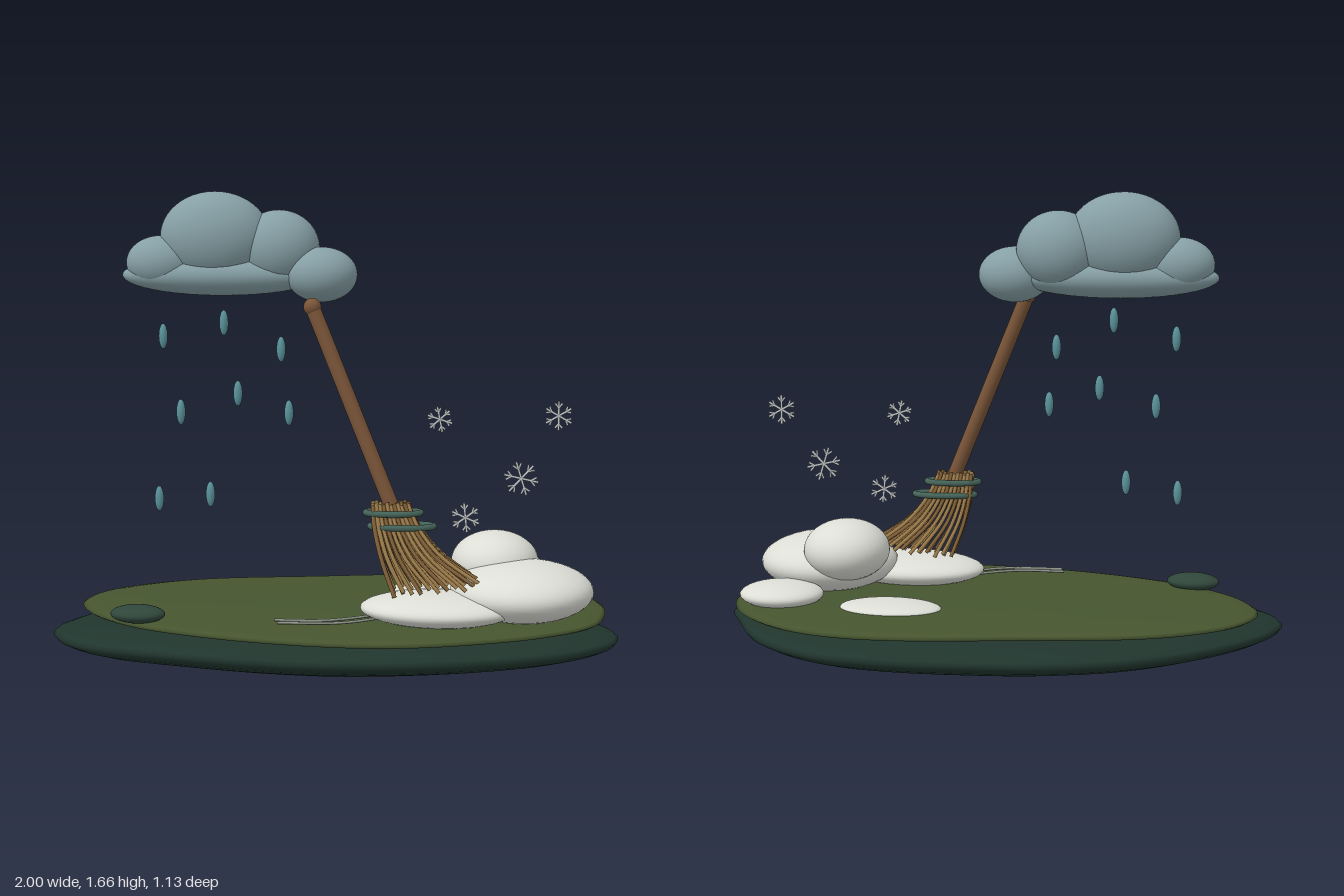
import * as THREE from 'three';

const V = (x, y, z) => new THREE.Vector3(x, y, z);
const paint = (color) => new THREE.MeshStandardMaterial({ color });
const MAT = {
  earth: paint(0x20352d), grass: paint(0x46552f), rock: paint(0x30463b), snow: paint(0xdcded6),
  cloud: paint(0x86a0a6), rain: paint(0x5a939b), wood: paint(0x7a5538), straw: paint(0xa88550),
  darkStraw: paint(0x8a673c), cord: paint(0x45645a), flake: paint(0xc4c8ca), track: paint(0x8d9488),
};

function add(parent, name, geometry, material) {
  const mesh = new THREE.Mesh(geometry, material);
  mesh.name = name;
  parent.add(mesh);
  return mesh;
}

function group(parent, name) {
  const g = new THREE.Group();
  g.name = name;
  parent.add(g);
  return g;
}

function blob(parent, name, material, [x, y, z], [rx, ry, rz], turn = 0) {
  const mesh = add(parent, name, new THREE.SphereGeometry(1, 36, 24), material);
  mesh.position.set(x, y, z);
  mesh.scale.set(rx, ry, rz);
  mesh.rotation.y = turn;
  return mesh;
}

function rod(parent, name, material, a, b, rTop, rBottom, sides = 16) {
  const dir = b.clone().sub(a);
  const mesh = add(parent, name, new THREE.CylinderGeometry(rTop, rBottom, dir.length(), sides), material);
  mesh.position.copy(a).add(b).multiplyScalar(0.5);
  mesh.quaternion.setFromUnitVectors(V(0, 1, 0), dir.normalize());
  return mesh;
}

function tube(parent, name, material, points, radius, segments = 10, sides = 6) {
  return add(parent, name,
    new THREE.TubeGeometry(new THREE.CatmullRomCurve3(points), segments, radius, sides), material);
}

// Slab from an [x, z] outline, swept through [scale, y] profile steps from bottom to top
function slab(outline, profile) {
  const n = 96;
  const curve = new THREE.CatmullRomCurve3(outline.map(([x, z]) => V(x, 0, z)), true);
  const rim = curve.getPoints(n);
  const pos = [], index = [];
  for (const [s, y] of profile) for (const p of rim) pos.push(p.x * s, y, p.z * s);
  const w = n + 1;
  for (let i = 0; i < profile.length - 1; i++) {
    for (let j = 0; j < n; j++) {
      const a = i * w + j, b = a + w;
      index.push(a, b, a + 1, b, b + 1, a + 1);
    }
  }
  const geometry = new THREE.BufferGeometry();
  geometry.setAttribute('position', new THREE.Float32BufferAttribute(pos, 3));
  geometry.setIndex(index);
  geometry.computeVertexNormals();
  return geometry;
}

function buildGround(root) {
  const ground = group(root, 'ground');
  const earthRim = [[-1, 0.06], [-0.94, -0.1], [-0.76, -0.3], [-0.5, -0.47], [-0.2, -0.555], [0.05, -0.57],
    [0.4, -0.55], [0.65, -0.47], [0.85, -0.28], [0.95, -0.05], [1, 0.1], [0.97, 0.23], [0.85, 0.35],
    [0.6, 0.46], [0.3, 0.52], [0, 0.535], [-0.3, 0.49], [-0.6, 0.4], [-0.85, 0.3], [-0.96, 0.19]];
  const earthProfile = [];
  for (let i = 0; i <= 20; i++) {
    const a = -Math.PI / 2 + (Math.PI * i) / 20;
    earthProfile.push([Math.max(Math.cos(a), 1e-4), 0.105 + Math.sin(a) * (a < 0 ? 0.105 : 0.075)]);
  }
  add(ground, 'earthMound', slab(earthRim, earthProfile), MAT.earth);

  const grassRim = [[-0.91, -0.08], [-0.85, -0.23], [-0.7, -0.35], [-0.5, -0.43], [-0.1, -0.48], [0.3, -0.52],
    [0.55, -0.495], [0.75, -0.4], [0.9, -0.23], [0.96, -0.05], [0.95, 0.12], [0.89, 0.28], [0.7, 0.42],
    [0.5, 0.5], [0.3, 0.55], [0.1, 0.56], [-0.15, 0.52], [-0.45, 0.42], [-0.7, 0.28], [-0.86, 0.1]];
  add(ground, 'grassTop', slab(grassRim, [[1e-4, 0.165], [0.94, 0.166], [0.985, 0.172], [1, 0.18],
    [0.985, 0.188], [0.93, 0.195], [0.7, 0.202], [1e-4, 0.207]]), MAT.grass);

  blob(ground, 'rock', MAT.rock, [-0.68, 0.215, 0.25], [0.096, 0.031, 0.067], -0.15);

  // Faint marks left by sweeping
  [[[-0.2, 0.345], [-0.05, 0.352], [0.03, 0.33], [0.14, 0.27]],
    [[-0.19, 0.385], [-0.02, 0.39], [0.06, 0.37], [0.16, 0.31]]].forEach((pts) =>
    tube(ground, 'sweepMark', MAT.track, pts.map(([x, z]) => V(x, 0.218, z)), 0.005, 20));
}

function buildSnow(root) {
  const snow = group(root, 'snowPile');
  blob(snow, 'frontDrift', MAT.snow, [0.36, 0.243, 0.27], [0.27, 0.058, 0.175], -0.12);
  blob(snow, 'largeHeap', MAT.snow, [0.655, 0.287, 0.18], [0.25, 0.105, 0.245]);
  blob(snow, 'topHeap', MAT.snow, [0.568, 0.36, 0.035], [0.155, 0.11, 0.163]);
  blob(snow, 'rearDrift', MAT.snow, [0.785, 0.222, -0.09], [0.15, 0.046, 0.135]);
  blob(snow, 'flatPatch', MAT.snow, [0.38, 0.203, -0.185], [0.182, 0.027, 0.115], -0.1);
}

function buildCloud(root) {
  const cloud = group(root, 'cloud');
  blob(cloud, 'cloudBase', MAT.cloud, [-0.4, 1.365, -0.08], [0.355, 0.072, 0.1]);
  blob(cloud, 'leftPuff', MAT.cloud, [-0.615, 1.41, -0.08], [0.125, 0.095, 0.09]);
  blob(cloud, 'mainPuff', MAT.cloud, [-0.425, 1.5, -0.085], [0.195, 0.16, 0.12]);
  blob(cloud, 'middlePuff', MAT.cloud, [-0.2, 1.46, -0.09], [0.145, 0.135, 0.115]);
  blob(cloud, 'rightPuff', MAT.cloud, [-0.048, 1.37, -0.05], [0.127, 0.097, 0.102]);

  const rain = group(root, 'rain');
  [[-0.61, 1.15, -0.055], [-0.39, 1.205, 0.01], [-0.19, 1.11, -0.005], [-0.34, 0.96, 0.045],
    [-0.54, 0.895, 0.055], [-0.16, 0.895, 0.07], [-0.62, 0.585, 0.05], [-0.435, 0.61, 0.1]].forEach((p) => {
    const drop = add(rain, 'raindrop', new THREE.SphereGeometry(1, 16, 12), MAT.rain);
    drop.position.set(...p);
    drop.scale.set(0.016, 0.045, 0.016);
  });
}

function buildBroom(root) {
  const broom = group(root, 'broom');
  const top = V(-0.075, 1.275, 0.155), foot = V(0.21, 0.57, 0.244);
  rod(broom, 'handle', MAT.wood, foot, top, 0.026, 0.026, 20);
  blob(broom, 'handleTip', MAT.wood, top.toArray(), [0.031, 0.031, 0.031]);

  // Bristles in four rows, fanning out and bending to one side
  const columns = 11;
  for (let row = 0; row < 4; row++) {
    const r = row / 3 - 0.5;
    for (let i = 0; i < columns; i++) {
      const t = i / (columns - 1);
      const wave = 0.008 * Math.sin(i * 2.3 + row * 1.7);
      tube(broom, 'bristle', (i + row) % 3 ? MAT.straw : MAT.darkStraw, [
        V(0.135 + 0.12 * t, 0.61 + wave * 0.6, 0.244 + r * 0.055),
        V(0.14 + 0.15 * t, 0.53, 0.247 + r * 0.065),
        V(0.165 + 0.2 * t, 0.42 + 0.015 * t, 0.257 + r * 0.08),
        V(0.21 + 0.305 * t, 0.298 + 0.03 * t + wave, 0.262 + r * 0.1),
      ], 0.0075);
    }
  }

  // Cord bindings
  [[0.205, 0.575, 0.095], [0.235, 0.527, 0.11]].forEach(([x, y, rx]) => {
    const loop = [];
    for (let i = 0; i < 16; i++) {
      const a = (i / 16) * Math.PI * 2;
      loop.push(V(x + rx * Math.cos(a), y, 0.244 + 0.042 * Math.sin(a)));
    }
    add(broom, 'cordBinding',
      new THREE.TubeGeometry(new THREE.CatmullRomCurve3(loop, true), 48, 0.011, 10, true), MAT.cord);
  });
}

function buildSnowflakes(root) {
  [[0.37, 0.865, -0.005 + 0.02, 0.046, 0.2], [0.79, 0.875, -0.01, 0.052, 0],
    [0.655, 0.665, 0.075, 0.062, 0.3], [0.455, 0.55, 0.205, 0.052, 0.1]].forEach(([x, y, z, r, spin]) => {
    const flake = group(root, 'snowflake');
    for (let i = 0; i < 6; i++) {
      const arm = group(flake, 'snowflakeArm');
      rod(arm, 'spoke', MAT.flake, V(0, 0, 0), V(0, r, 0), 0.0045, 0.0045, 6);
      for (const side of [-1, 1]) {
        rod(arm, 'barb', MAT.flake, V(0, r * 0.55, 0), V(side * r * 0.25, r * 0.85, 0), 0.004, 0.004, 6);
      }
      arm.rotation.z = (i * Math.PI) / 3;
    }
    flake.position.set(x, y, z);
    flake.rotation.z = spin;
  });
}

export function createModel() {
  const root = new THREE.Group();
  root.name = 'weatherScene';
  buildGround(root);
  buildSnow(root);
  buildCloud(root);
  buildBroom(root);
  buildSnowflakes(root);
  return root;
}
